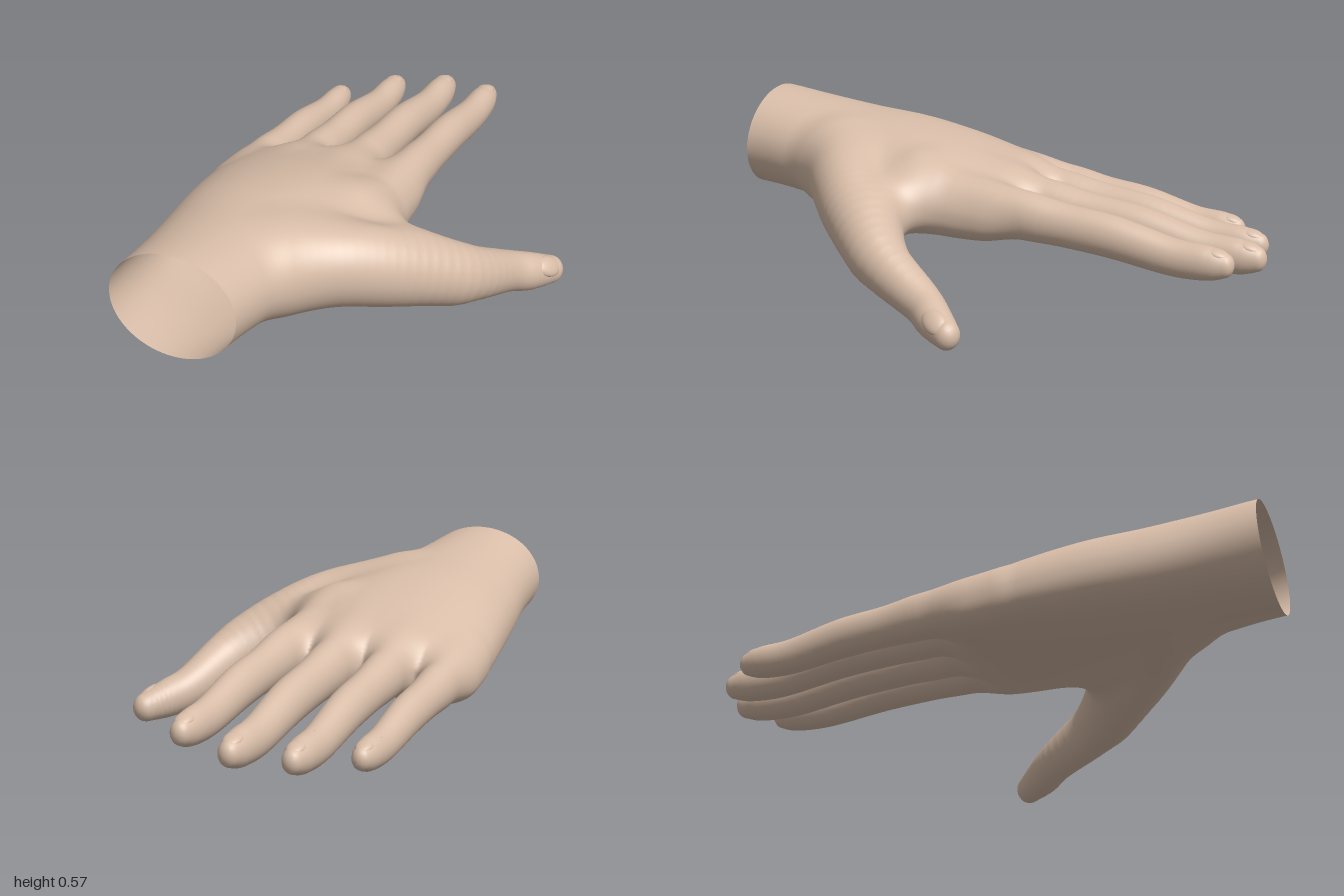
import * as THREE from 'three';
import { mergeVertices } from 'three/addons/utils/BufferGeometryUtils.js';

// Smooth (Catmull-Rom) resampling of rows of numbers, n steps per span
function resample(rows, n) {
  const out = [], last = rows.length - 1;
  const row = i => rows[Math.min(Math.max(i, 0), last)];
  for (let s = 0; s <= last * n; s++) {
    const i = Math.min(Math.floor(s / n), last - 1), t = s / n - i;
    const [a, b, c, d] = [row(i - 1), row(i), row(i + 1), row(i + 2)];
    out.push(b.map((v, k) => v + 0.5 * t * (c[k] - a[k] +
      t * (2 * a[k] - 5 * v + 4 * c[k] - d[k] + t * (3 * (v - c[k]) + d[k] - a[k])))));
  }
  return out;
}

const smoothMin = (a, b, k) => {
  const h = Math.max(k - Math.abs(a - b), 0);
  return Math.min(a, b) - h * h / (4 * k);
};

// Wrist and palm sections every 0.2 from z = 1 to z = -0.2: left, right, top, bottom
const palmRows = resample([
  [-0.53, -0.08, 0.58, 0.21],
  [-0.54, -0.045, 0.56, 0.2],
  [-0.565, 0.01, 0.54, 0.18],
  [-0.59, 0.06, 0.525, 0.17],
  [-0.61, 0.12, 0.49, 0.165],
  [-0.615, 0.105, 0.435, 0.17],
  [-0.6, 0.09, 0.39, 0.21],
], 20);

function palmDistance(x, y, z) {
  const f = Math.min(Math.max((1 - z) / 0.01, 0), palmRows.length - 1.001);
  const i = Math.floor(f), t = f - i, a = palmRows[i], b = palmRows[i + 1];
  const mix = k => a[k] + (b[k] - a[k]) * t;
  const x0 = mix(0), x1 = mix(1), y1 = mix(2), y0 = mix(3);
  const w = (x1 - x0) / 2, h = (y1 - y0) / 2;
  const flat = Math.min(Math.max(1 - z, 0), 1);
  const n = 2 + 0.4 * flat;
  const u = (x - (x0 + x1) / 2) / w;
  // The back of the hand arches down toward the little finger
  const arch = 0.035 * flat * Math.min((u - 0.3) ** 2, 2);
  const v = (y - (y0 + y1) / 2 + arch) / h;
  const au = Math.abs(u), av = Math.abs(v);
  const q = Math.max(Math.pow(Math.pow(au, n) + Math.pow(av, n), 1 / n), 1e-4);
  const slope = Math.hypot(Math.pow(au / q, n - 1) / w, Math.pow(av / q, n - 1) / h);
  const side = (q - 1) / slope;
  // Rounded end at the finger webs
  const end = -0.155 + 0.2 * Math.max(0, -x - 0.25) - z;
  return -smoothMin(-side, -end, 0.13);
}

// All fingers share one profile: how far along, how far bent down, thickness
const fingerProfile = [
  [0, 0, 0.8], [0.26, 0.25, 1], [0.44, 0.43, 0.88], [0.62, 0.6, 0.85],
  [0.82, 0.96, 0.75], [0.94, 1, 0.69], [1, 1, 0.5],
];
const finger = (name, r, x0, y0, x1, y1, z1) => ({
  name, tall: 1.2,
  rows: fingerProfile.map(([t, drop, thick]) =>
    [x0 + (x1 - x0) * t, y0 + (y1 - y0) * drop, 0.12 + (z1 - 0.12) * t, r * thick]),
});

// Digits: spine rows are x, y, z, radius; tall is height over width
const digits = [
  finger('littleFinger', 0.067, -0.54, 0.285, -0.518, 0.188, -0.774),
  finger('ringFinger', 0.072, -0.36, 0.32, -0.347, 0.198, -0.911),
  finger('middleFinger', 0.076, -0.173, 0.335, -0.158, 0.213, -0.961),
  finger('indexFinger', 0.073, 0.018, 0.345, 0.033, 0.242, -0.91),
  { name: 'thumb', tall: 1.12, rows: [
    [-0.09, 0.36, 0.6, 0.125], [0.06, 0.342, 0.485, 0.13], [0.205, 0.292, 0.365, 0.121],
    [0.365, 0.207, 0.2, 0.093], [0.455, 0.115, 0, 0.068], [0.51, 0.082, -0.075, 0.062],
    [0.566, 0.058, -0.15, 0.046]] },
  { name: 'thumbWeb', tall: 1.1, rows: [
    [0, 0.36, 0.23, 0.08], [0.2, 0.285, 0.28, 0.075], [0.33, 0.21, 0.22, 0.06]] },
];
for (const d of digits) d.spine = resample(d.rows, 6);

// Distance to a spine whose radius changes along it
function digitDistance({ spine, tall }, x, y, z) {
  let best = Infinity;
  for (let i = 0; i + 1 < spine.length; i++) {
    const a = spine[i], b = spine[i + 1];
    const dx = b[0] - a[0], dy = (b[1] - a[1]) / tall, dz = b[2] - a[2];
    const px = x - a[0], py = (y - a[1]) / tall, pz = z - a[2];
    let t = (px * dx + py * dy + pz * dz) / (dx * dx + dy * dy + dz * dz);
    t = t < 0 ? 0 : t > 1 ? 1 : t;
    const ex = px - dx * t, ey = py - dy * t, ez = pz - dz * t;
    const d = Math.sqrt(ex * ex + ey * ey + ez * ez) - a[3] - (b[3] - a[3]) * t;
    if (d < best) best = d;
  }
  return best;
}

const partDistances = (x, y, z) =>
  [palmDistance(x, y, z), ...digits.map(d => digitDistance(d, x, y, z))];

// All parts blended into one skin
function skin(x, y, z) {
  const [palm, little, ring, middle, index, thumb, web] = partDistances(x, y, z);
  const fingers = Math.min(little, ring, middle, index);
  return smoothMin(smoothMin(palm, fingers, 0.06), smoothMin(thumb, web, 0.08), 0.1);
}

function gradient([x, y, z]) {
  const e = 0.007;
  return [skin(x + e, y, z) - skin(x - e, y, z), skin(x, y + e, z) - skin(x, y - e, z),
    skin(x, y, z + e) - skin(x, y, z - e)].map(v => v / (2 * e));
}

// Net of quads over the skin, split into one geometry per part; open at the wrist
function skinGeometries() {
  const h = 0.0125, size = [105, 54, 163];
  const lean = y => 0.08 * (y - 0.21); // the wrist cut leans back
  const at = (i, j, k) => {
    const y = -0.04 + j * h;
    return [-0.66 + i * h, y, 1 + h / 2 - (size[2] - 1 - k) * h - lean(y)];
  };
  const step = [1, size[0], size[0] * size[1]];
  const field = new Float32Array(step[2] * size[2]);
  const eachNode = fn => {
    for (let k = 0, n = 0; k < size[2]; k++)
      for (let j = 0; j < size[1]; j++)
        for (let i = 0; i < size[0]; i++, n++) fn(i, j, k, n);
  };
  eachNode((i, j, k, n) => { field[n] = skin(...at(i, j, k)); });

  // One vertex in each cell the skin passes through, pulled onto the skin
  const vertex = new Int32Array(field.length).fill(-1), positions = [], normals = [];
  eachNode((i, j, k, n) => {
    if (i === size[0] - 1 || j === size[1] - 1 || k === size[2] - 1) return;
    let inside = 0;
    for (let c = 0; c < 8; c++)
      if (field[n + (c & 1) * step[0] + (c >> 1 & 1) * step[1] + (c >> 2) * step[2]] < 0) inside++;
    if (inside === 0 || inside === 8) return;
    const p = at(i + 0.5, j + 0.5, k + 0.5);
    let g;
    for (let pass = 0; pass < 3; pass++) {
      g = gradient(p);
      const move = skin(...p) / Math.max(g[0] ** 2 + g[1] ** 2 + g[2] ** 2, 0.2);
      const m = Math.min(Math.max(move, -h), h);
      for (let a = 0; a < 3; a++) p[a] -= g[a] * m;
    }
    if (k === size[2] - 2) p[2] = 1 - lean(p[1]);
    g = gradient(p);
    const len = Math.hypot(...g) || 1;
    vertex[n] = positions.length / 3;
    positions.push(...p);
    normals.push(...g.map(v => v / len));
  });

  // A quad across every grid edge that crosses the skin
  const faces = Array.from({ length: digits.length + 1 }, () => []);
  eachNode((i, j, k, n) => {
    const node = [i, j, k];
    for (let a = 0; a < 3; a++) {
      const b = (a + 1) % 3, c = (a + 2) % 3;
      if (node[a] === size[a] - 1 || node[b] === 0 || node[c] === 0) continue;
      const inside = field[n] < 0;
      if (inside === field[n + step[a]] < 0) continue;
      const q = [n - step[b] - step[c], n - step[c], n, n - step[b]].map(m => vertex[m]);
      if (q.some(v => v < 0)) continue;
      if (!inside) q.reverse();
      const near = partDistances(...positions.slice(q[0] * 3, q[0] * 3 + 3));
      faces[near.indexOf(Math.min(...near))].push(q[0], q[1], q[2], q[0], q[2], q[3]);
    }
  });
  const position = new THREE.Float32BufferAttribute(positions, 3);
  const normal = new THREE.Float32BufferAttribute(normals, 3);
  return faces.map(index => {
    const geometry = new THREE.BufferGeometry();
    geometry.setAttribute('position', position);
    geometry.setAttribute('normal', normal);
    geometry.setIndex(index);
    return mergeVertices(geometry.toNonIndexed(), 1e-6);
  });
}

export function createModel() {
  const hand = new THREE.Group();
  hand.name = 'hand';
  const material = new THREE.MeshStandardMaterial({ color: 0xd8bda8, side: THREE.DoubleSide });
  const add = (name, geometry) => {
    const mesh = new THREE.Mesh(geometry, material);
    mesh.name = name;
    hand.add(mesh);
    return mesh;
  };
  const names = ['palm', ...digits.map(d => d.name)];
  skinGeometries().forEach((geometry, i) => add(names[i], geometry));

  // Nails: flattened domes set into the back of each tip, tilted down a little
  for (const { name, rows, tall } of digits.slice(0, 5)) {
    const tip = new THREE.Vector3(...rows.at(-1)), before = new THREE.Vector3(...rows.at(-2));
    const r = (rows.at(-1)[3] + rows.at(-2)[3]) / 2;
    const along = tip.clone().sub(before).normalize();
    const up = name === 'thumb' ? new THREE.Vector3(0.6, 0.7, 0.3) : new THREE.Vector3(0, 1, 0);
    up.addScaledVector(along, -up.dot(along)).normalize();
    const across = new THREE.Vector3().crossVectors(up, along);
    const nail = add(name + 'Nail', new THREE.SphereGeometry(1, 24, 16).scale(0.72 * r, 0.4 * r, 1.05 * r));
    nail.quaternion.setFromRotationMatrix(new THREE.Matrix4().makeBasis(across, up, along));
    nail.rotateX(0.2);
    nail.position.lerpVectors(before, tip, 0.6).addScaledVector(up, (tall - 0.36) * r);
  }
  return hand;
}
